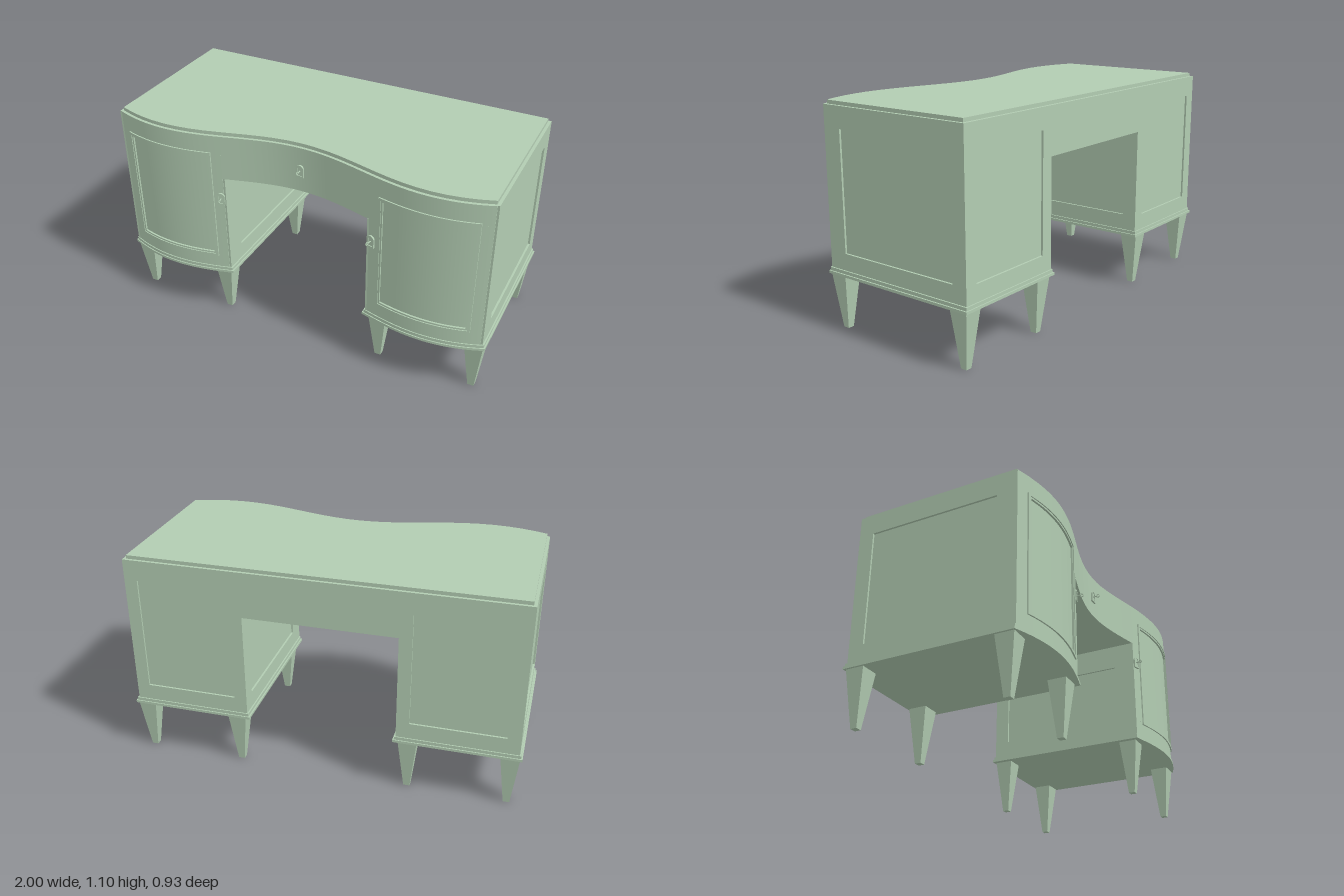
import * as THREE from 'three';
import { toCreasedNormals } from 'three/addons/utils/BufferGeometryUtils.js';

const material = new THREE.MeshStandardMaterial({ color: 0xb2ccb2 });

const HALF = 0.986, INNER = 0.385, BACK = -0.452;   // carcass limits
const BASE = 0.29, KNEE = 0.85, TOP = 1.086;        // carcass heights
const T = 0.01;                                     // depth of the recessed panels

// Serpentine front: hollow at the middle, bowed over each pedestal
function frontZ(x) {
  const a = Math.abs(x), peak = 0.69;
  if (a < peak) return 0.394 - 0.061 * Math.cos(Math.PI * a / peak);
  return 0.455 - 0.06 * ((a - peak) / (HALF - peak)) ** 2;
}

function add(parent, name, geometry) {
  const mesh = new THREE.Mesh(geometry, material);
  mesh.name = name;
  parent.add(mesh);
  return mesh;
}

// Points along the front curve from x0 to x1, pushed out by off
function curve(x0, x1, off, n = 28) {
  return Array.from({ length: n + 1 }, (_, i) => {
    const x = x0 + (x1 - x0) * i / n;
    return new THREE.Vector2(x, -(frontZ(x) + off));
  });
}

// Plan outline raised from y0 to y1
function raise(points, y0, y1) {
  const g = new THREE.ExtrudeGeometry(new THREE.Shape(points), { depth: y1 - y0, bevelEnabled: false });
  g.rotateX(-Math.PI / 2);
  g.translate(0, y0, 0);
  return toCreasedNormals(g, 0.4);
}

// Block with a straight back and a curved front; runs are [x0, x1, offset]
function block(runs, back, y0, y1) {
  const front = runs.flatMap(([a, b, off]) => curve(a, b, off));
  const x0 = runs[0][0], x1 = runs[runs.length - 1][1];
  return raise([...front, new THREE.Vector2(x1, -back), new THREE.Vector2(x0, -back)], y0, y1);
}

// Curved strip lying on the front
function strip(x0, x1, y0, y1, inner, outer) {
  return raise([...curve(x0, x1, outer), ...curve(x0, x1, inner).reverse()], y0, y1);
}

function rect(target, x0, x1, y0, y1) {
  return target.moveTo(x0, y0).lineTo(x1, y0).lineTo(x1, y1).lineTo(x0, y1).closePath();
}

// Upright side frame with one panel opening; its +x face is at x
function sideFrame(x, y1, holeTop) {
  const shape = rect(new THREE.Shape(), BACK + T, frontZ(x), BASE, y1);
  shape.holes.push(rect(new THREE.Path(), -0.375, 0.295, 0.39, holeTop));
  const g = new THREE.ExtrudeGeometry(shape, { depth: T, bevelEnabled: false });
  g.rotateY(-Math.PI / 2);
  g.translate(x, 0, 0);
  return g;
}

// Back frame with the kneehole cut out and a panel on each pedestal
function backFrame() {
  const shape = new THREE.Shape([
    [-HALF, BASE], [-INNER, BASE], [-INNER, KNEE], [INNER, KNEE],
    [INNER, BASE], [HALF, BASE], [HALF, TOP], [-HALF, TOP],
  ].map(p => new THREE.Vector2(...p)));
  for (const [a, b] of [[-0.92, -0.45], [0.45, 0.92]])
    shape.holes.push(rect(new THREE.Path(), a, b, 0.39, 0.98));
  const g = new THREE.ExtrudeGeometry(shape, { depth: T, bevelEnabled: false });
  g.translate(0, 0, BACK);
  return g;
}

// Round-headed outline centred on the origin
function arch(target, w, h) {
  target.moveTo(-w, -h).lineTo(w, -h).lineTo(w, h - w);
  target.absarc(0, h - w, w, 0, Math.PI, false);
  return target.lineTo(-w, -h);
}

// Lock plate with a raised rim and a thin key
function lock(x, y) {
  const g = new THREE.Group();
  g.name = 'lock';
  const options = d => ({ depth: d, bevelEnabled: false, curveSegments: 10 });
  add(g, 'lockPlate', new THREE.ExtrudeGeometry(arch(new THREE.Shape(), 0.02, 0.032), options(0.006)));
  const rim = arch(new THREE.Shape(), 0.02, 0.032);
  rim.holes.push(arch(new THREE.Path(), 0.013, 0.025));
  add(g, 'lockRim', new THREE.ExtrudeGeometry(rim, options(0.01)));
  const shaft = add(g, 'keyShaft', new THREE.CylinderGeometry(0.003, 0.003, 0.028, 10));
  shaft.rotation.x = Math.PI / 2;
  shaft.position.z = 0.016;
  const bow = add(g, 'keyBow', new THREE.TorusGeometry(0.008, 0.0025, 8, 18));
  bow.rotation.y = Math.PI / 2;
  bow.position.z = 0.033;
  const slope = (frontZ(x + 0.01) - frontZ(x - 0.01)) / 0.02;
  g.position.set(x, y, frontZ(x) - 0.001);
  g.rotation.y = -Math.atan(slope);
  return g;
}

function pedestal(side) {
  const g = new THREE.Group();
  g.name = side > 0 ? 'leftPedestal' : 'rightPedestal';
  const span = (a, b) => side > 0 ? [a, b] : [-b, -a];
  const d0 = 0.457, d1 = 0.913, y0 = 0.388, y1 = 0.982;    // door opening

  // Carcass in three layers, the middle one set back for the door panel
  const whole = [[...span(INNER + T, HALF - T), 0]];
  const notched = [
    [...span(INNER + T, d0), 0], [...span(d0, d1), -0.008], [...span(d1, HALF - T), 0],
  ];
  if (side < 0) notched.reverse();
  add(g, 'lowerCase', block(whole, BACK + T, BASE, y0));
  add(g, 'doorCase', block(notched, BACK + T, y0, y1));
  add(g, 'upperCase', block(whole, BACK + T, y1, TOP));

  // Panelled outer and inner sides
  const outer = side > 0 ? HALF : -HALF + T;
  const inner = side > 0 ? INNER + T : -INNER;
  add(g, 'outerSideFrame', sideFrame(outer, TOP, 0.98));
  add(g, 'innerSideFrame', sideFrame(inner, KNEE, 0.72));

  // Stepped moulding around the door
  for (const [inset, w, proud] of [[0, 0.013, 0.007], [0.012, 0.01, 0.002]]) {
    const a = 0.445 + inset, b = 0.925 - inset, lo = 0.376 + inset, hi = 0.994 - inset;
    add(g, 'doorMoulding', strip(...span(a, b), lo, lo + w, -0.012, proud));
    add(g, 'doorMoulding', strip(...span(a, b), hi - w, hi, -0.012, proud));
    add(g, 'doorMoulding', strip(...span(a, a + w), lo + w, hi - w, -0.012, proud));
    add(g, 'doorMoulding', strip(...span(b - w, b), lo + w, hi - w, -0.012, proud));
  }

  // Two-step base moulding
  for (const [out, lo, hi] of [[0.014, 0.278, 0.291], [0.007, 0.291, 0.307]])
    add(g, 'baseMoulding', block([[...span(INNER - out, HALF + out), out * 0.75]], BACK - out * 0.8, lo, hi));

  // Tapered square legs
  for (const x of [0.443, 0.943]) for (const z of [0.347, -0.406]) {
    const leg = new THREE.CylinderGeometry(0.047 * Math.SQRT2, 0.016 * Math.SQRT2, 0.279, 4).toNonIndexed();
    leg.rotateY(Math.PI / 4);
    leg.computeVertexNormals();
    add(g, 'leg', leg).position.set(side * x, 0.1395, z);
  }

  g.add(lock(side * 0.41, 0.735));
  return g;
}

export function createModel() {
  const desk = new THREE.Group();
  desk.name = 'desk';
  desk.add(pedestal(1), pedestal(-1));
  add(desk, 'centreDrawer', block([[-INNER - T, INNER + T, 0]], BACK + T, KNEE, TOP));
  add(desk, 'backFrame', backFrame());
  add(desk, 'deskTop', block([[-0.971, 0.971, -0.015]], BACK + 0.015, TOP, 1.104));
  desk.add(lock(0, 0.963));
  return desk;
}
